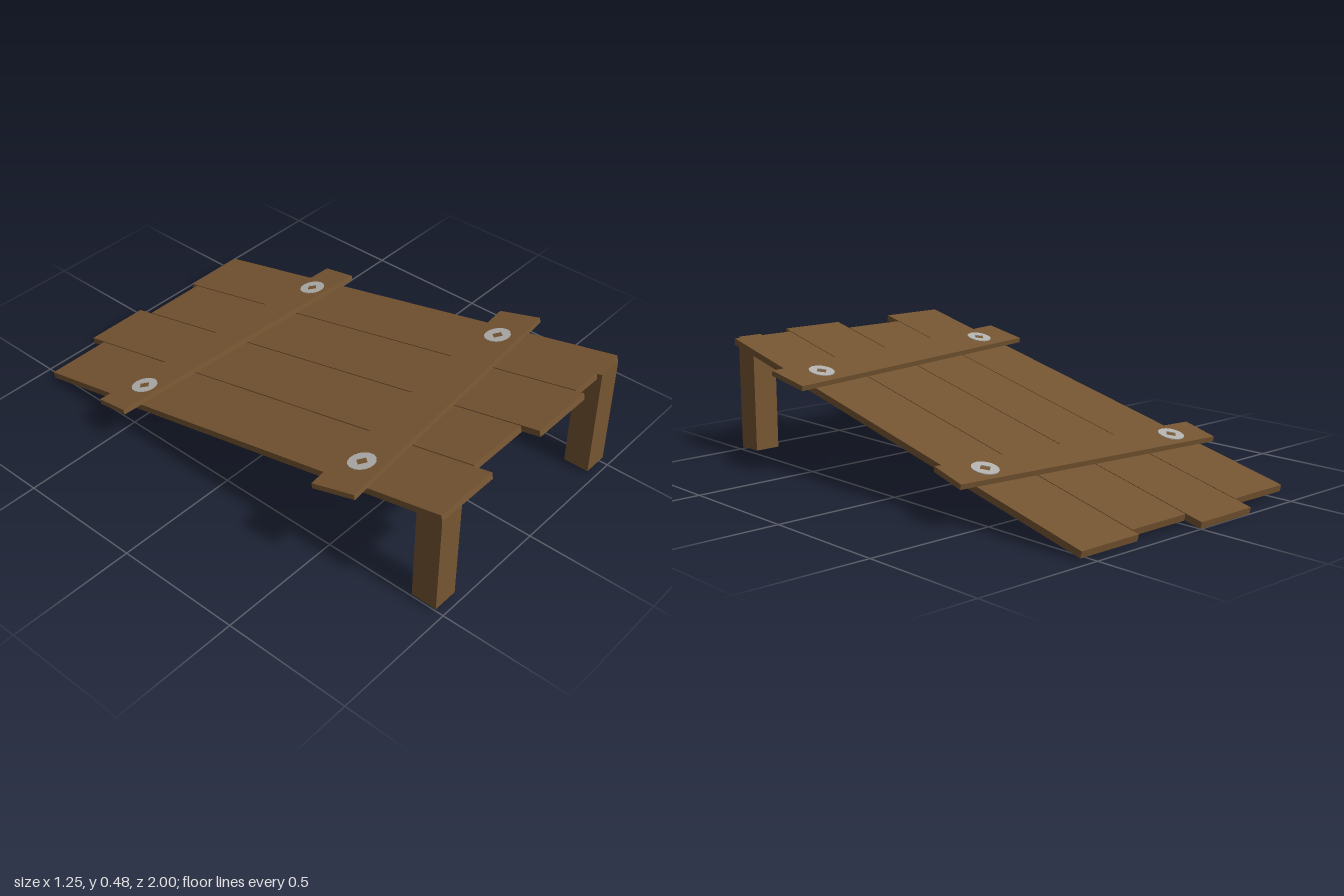
import * as THREE from 'three';

const SLOPE = 0.223;
const COS = Math.cos(SLOPE);
const PLANK = 0.025; // plank thickness
const BAR = 0.02; // cross bar thickness

export function createModel() {
  const wood = new THREE.MeshStandardMaterial({ color: 0x755531 });
  wood.name = 'wood';
  const metal = new THREE.MeshStandardMaterial({ color: 0xb2b0ac });
  metal.name = 'metal';

  const model = new THREE.Group();
  model.name = 'plankRamp';

  const add = (parent, name, geometry, material, x, y, z) => {
    const mesh = new THREE.Mesh(geometry, material);
    mesh.name = name;
    mesh.position.set(x, y, z);
    parent.add(mesh);
    return mesh;
  };

  // Sloping deck, high at the front
  const deck = new THREE.Group();
  deck.name = 'deck';
  deck.position.y = 0.242;
  deck.rotation.x = -SLOPE;
  model.add(deck);

  // Planks: left edge, right edge, back, front
  [
    [-0.535, -0.268, -0.928, 0.99],
    [-0.264, 0.0, -1.0, 0.915],
    [0.004, 0.27, -0.933, 0.987],
    [0.274, 0.538, -0.965, 0.953],
  ].forEach(([x0, x1, z0, z1], i) => {
    const box = new THREE.BoxGeometry(x1 - x0, PLANK, (z1 - z0) / COS);
    add(deck, `plank${i + 1}`, box, wood, (x0 + x1) / 2, 0, (z0 + z1) / 2 / COS);
  });

  // Flat nail head with a diamond-shaped recess
  const headShape = new THREE.Shape().absarc(0, 0, 0.05, 0, Math.PI * 2);
  const r = 0.024;
  headShape.holes.push(new THREE.Path([[r, 0], [0, -r], [-r, 0], [0, r]].map(([x, y]) => new THREE.Vector2(x, y))));
  const headGeometry = new THREE.ExtrudeGeometry(headShape, { depth: 0.003, bevelEnabled: false, curveSegments: 8 });
  headGeometry.rotateX(-Math.PI / 2);

  // Skewed cross bars with two nails each: x, z, length, width, turn
  [
    ['backBar', -0.004, -0.443, 1.215, 0.149, -0.066],
    ['frontBar', 0, 0.553, 1.237, 0.172, 0.105],
  ].forEach(([name, x, z, length, width, turn]) => {
    const bar = new THREE.Group();
    bar.name = name;
    bar.position.set(x, (PLANK + BAR) / 2, z / COS);
    bar.rotation.y = turn;
    deck.add(bar);
    add(bar, 'crossBoard', new THREE.BoxGeometry(length, BAR, width), wood, 0, 0, 0);
    for (const side of [-1, 1]) add(bar, 'nailHead', headGeometry, metal, side * 0.448, BAR / 2, 0);
  });

  // Upright legs, tops cut to follow the deck slope
  const legGeometry = new THREE.BoxGeometry(0.103, 0.44, 0.102);
  const p = legGeometry.attributes.position;
  for (let i = 0; i < p.count; i++) {
    if (p.getY(i) > 0) p.setY(i, p.getY(i) + p.getZ(i) * Math.tan(SLOPE));
  }
  legGeometry.computeVertexNormals();
  add(model, 'rightLeg', legGeometry, wood, -0.455, 0.24, 0.922);
  add(model, 'leftLeg', legGeometry, wood, 0.455, 0.24, 0.922);

  return model;
}
